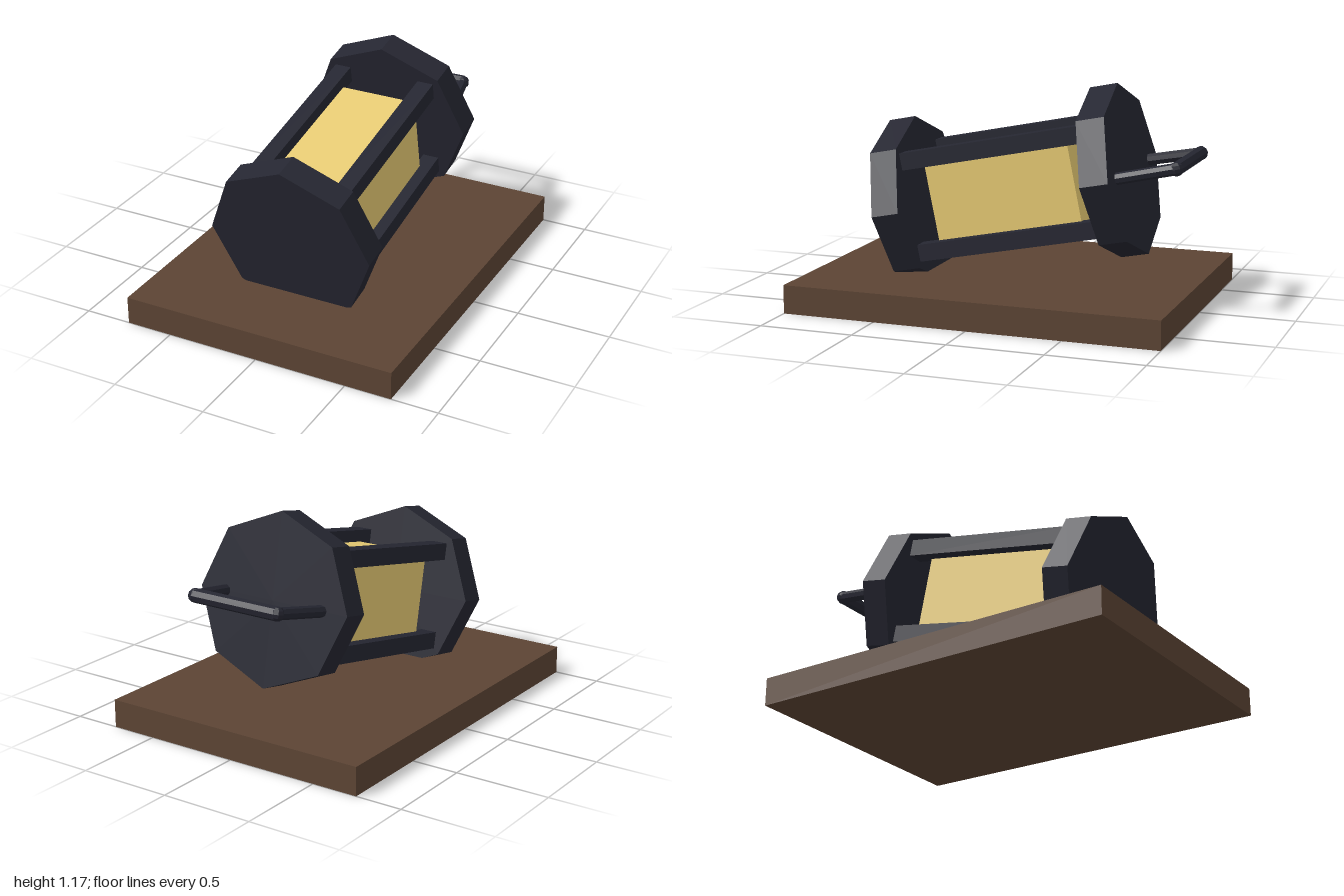
import * as THREE from 'three';

const wood = new THREE.MeshStandardMaterial({ color: 0x5c4434 });
wood.name = 'brown wood';
const iron = new THREE.MeshStandardMaterial({ color: 0x252631 });
iron.name = 'dark iron';
const glass = new THREE.MeshStandardMaterial({ color: 0xeccf76 });
glass.name = 'amber glass';

// Adds a faceted mesh to a parent
function add(parent, name, geometry, material, x = 0, y = 0, z = 0) {
  const flat = geometry.index ? geometry.toNonIndexed() : geometry;
  flat.computeVertexNormals();
  const mesh = new THREE.Mesh(flat, material);
  mesh.name = name;
  mesh.position.set(x, y, z);
  parent.add(mesh);
  return mesh;
}

// Adds an eight-sided rod between two points
function addRod(parent, name, from, to, radius) {
  const dir = to.clone().sub(from);
  const rod = add(parent, name, new THREE.CylinderGeometry(radius, radius, dir.length(), 8), iron);
  rod.position.copy(from).add(to).multiplyScalar(0.5);
  rod.quaternion.setFromUnitVectors(new THREE.Vector3(0, 1, 0), dir.normalize());
}

export function createModel() {
  const model = new THREE.Group();
  model.name = 'lanternOnBoard';
  add(model, 'board', new THREE.BoxGeometry(1.5, 0.15, 2), wood, 0, 0.075, 0);

  // Lantern lies along z, tilted up at the back
  const lantern = new THREE.Group();
  lantern.name = 'lantern';
  lantern.position.set(0, 0.6, 0);
  lantern.rotation.x = 0.2;
  model.add(lantern);

  add(lantern, 'glassBody', new THREE.BoxGeometry(0.45, 0.45, 0.8), glass);

  // Octagonal end caps
  for (const [name, z] of [['frontCap', 0.575], ['backCap', -0.575]]) {
    const cap = new THREE.CylinderGeometry(0.45, 0.45, 0.15, 8).rotateX(Math.PI / 2);
    add(lantern, name, cap, iron, 0, 0, z);
  }

  // Four corner bars
  for (const x of [-0.245, 0.245]) {
    for (const y of [-0.245, 0.245]) {
      add(lantern, 'cornerBar', new THREE.BoxGeometry(0.09, 0.09, 1.04), iron, x, y, 0);
    }
  }

  // Carrying handle with rounded corners
  const handle = new THREE.Group();
  handle.name = 'handle';
  lantern.add(handle);
  const corners = [-1, 1].map((side) => new THREE.Vector3(side * 0.25, 0, -0.95));
  for (const corner of corners) {
    const foot = new THREE.Vector3(Math.sign(corner.x) * 0.3, 0, -0.63);
    addRod(handle, 'handleLeg', foot, corner, 0.031);
    add(handle, 'handleCorner', new THREE.SphereGeometry(0.037, 8, 6), iron, corner.x, corner.y, corner.z);
  }
  addRod(handle, 'handleGrip', corners[0], corners[1], 0.037);

  return model;
}
